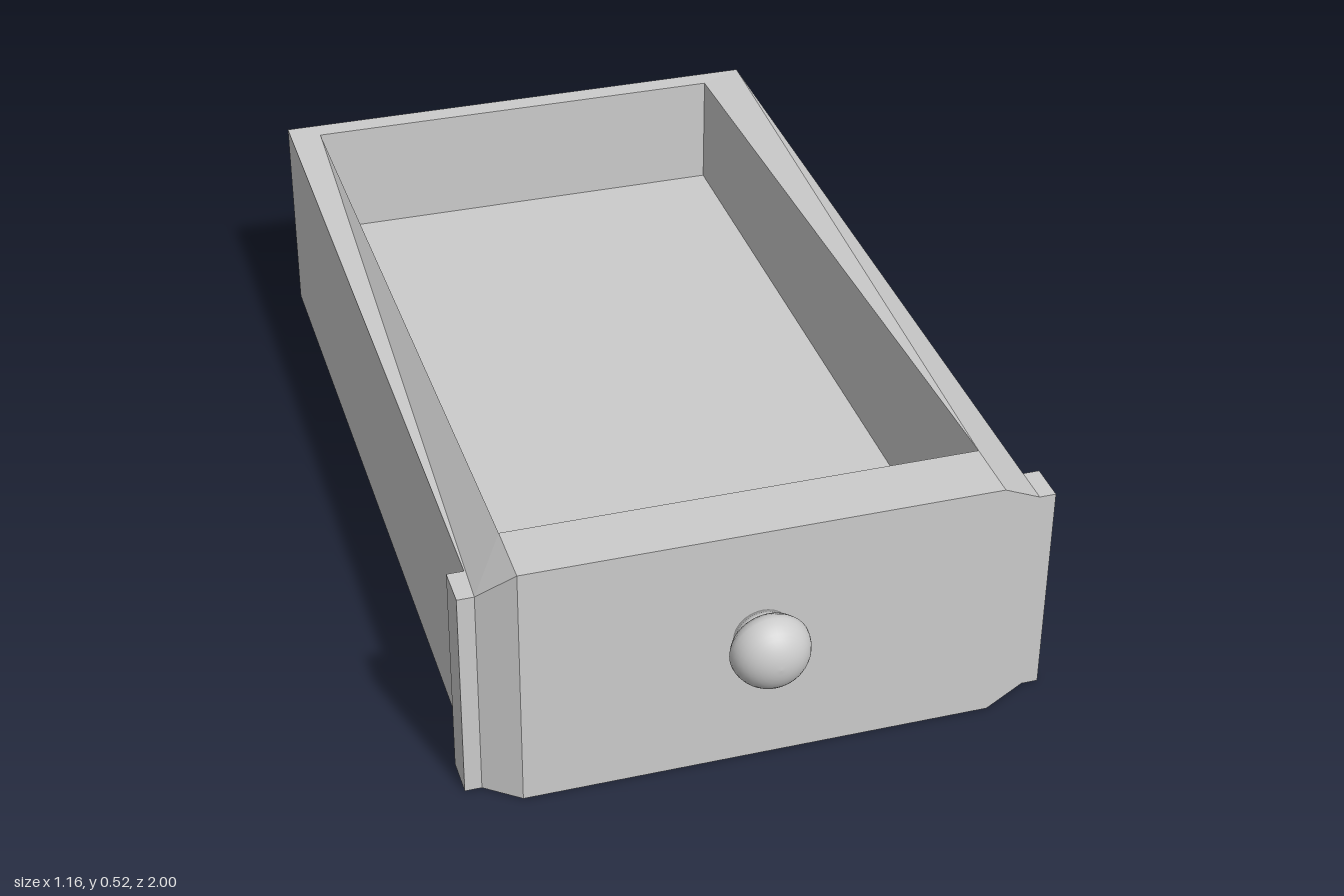
import * as THREE from 'three';

const material = new THREE.MeshStandardMaterial({ color: 0xcccccc });
const FLOOR = 0.2, SIDE = 0.45, FRONT = 0.52;

function add(group, name, geometry) {
  const mesh = new THREE.Mesh(geometry, material);
  mesh.name = name;
  group.add(mesh);
  return mesh;
}

// Joins rings of equal length with strips, and caps the first and last ring.
function loft(rings) {
  const positions = [];
  const tri = (...corners) => {
    const [a, b, c] = corners.map((p) => new THREE.Vector3(...p));
    if (new THREE.Triangle(a, b, c).getArea() < 1e-7) return;
    for (const p of corners) positions.push(...p);
  };
  const n = rings[0].length;
  for (let r = 0; r < rings.length - 1; r++) {
    for (let i = 0; i < n; i++) {
      const j = (i + 1) % n;
      tri(rings[r][i], rings[r + 1][i], rings[r + 1][j]);
      tri(rings[r][i], rings[r + 1][j], rings[r][j]);
    }
  }
  const last = rings[rings.length - 1];
  for (let i = 1; i < n - 1; i++) {
    tri(rings[0][0], rings[0][i], rings[0][i + 1]);
    tri(last[0], last[i + 1], last[i]);
  }
  const geometry = new THREE.BufferGeometry();
  geometry.setAttribute('position', new THREE.Float32BufferAttribute(positions, 3));
  geometry.computeVertexNormals();
  return geometry;
}

export function createModel() {
  const drawer = new THREE.Group();
  drawer.name = 'drawer';

  // Tray: [x, z, rim height] clockwise from the back right corner
  const outer = [
    [-0.545, -1, SIDE], [0.545, -1, SIDE], [0.545, 0.837, SIDE],
    [0.45, 0.888, FRONT], [-0.478, 0.888, FRONT], [-0.545, 0.837, SIDE],
  ];
  // The front inner corners are doubled to match the chamfered outer corners
  const innerFrontLeft = [0.45, 0.755, FRONT], innerFrontRight = [-0.478, 0.755, FRONT];
  const inner = [
    [-0.478, -0.953, SIDE], [0.45, -0.953, SIDE],
    innerFrontLeft, innerFrontLeft, innerFrontRight, innerFrontRight,
  ];
  const at = (ring, y) => ring.map(([x, z, top]) => [x, y ?? top, z]);
  add(drawer, 'tray', loft([at(outer, 0), at(outer), at(inner), at(inner, FLOOR)]));

  // Upright stop strips on both sides behind the front panel
  for (const side of [-1, 1]) {
    const strip = add(drawer, side > 0 ? 'leftStop' : 'rightStop',
      new THREE.BoxGeometry(0.053, SIDE, 0.08));
    strip.position.set(side * 0.5515, SIDE / 2, 0.797);
  }

  // Round pull knob: flared foot, neck and domed head
  const profile = [[0, 0], [0.056, 0], [0.054, 0.011], [0.053, 0.02], [0.06, 0.027], [0.072, 0.032]]
    .map(([r, h]) => new THREE.Vector2(r, h));
  for (let i = 0; i <= 10; i++) {
    const a = (i / 10) * Math.PI / 2;
    profile.push(new THREE.Vector2(0.078 * Math.cos(a), 0.045 + 0.067 * Math.sin(a)));
  }
  const knob = add(drawer, 'knob', new THREE.LatheGeometry(profile, 40));
  knob.rotation.x = Math.PI / 2;
  knob.position.set(-0.017, 0.288, 0.888);

  return drawer;
}
